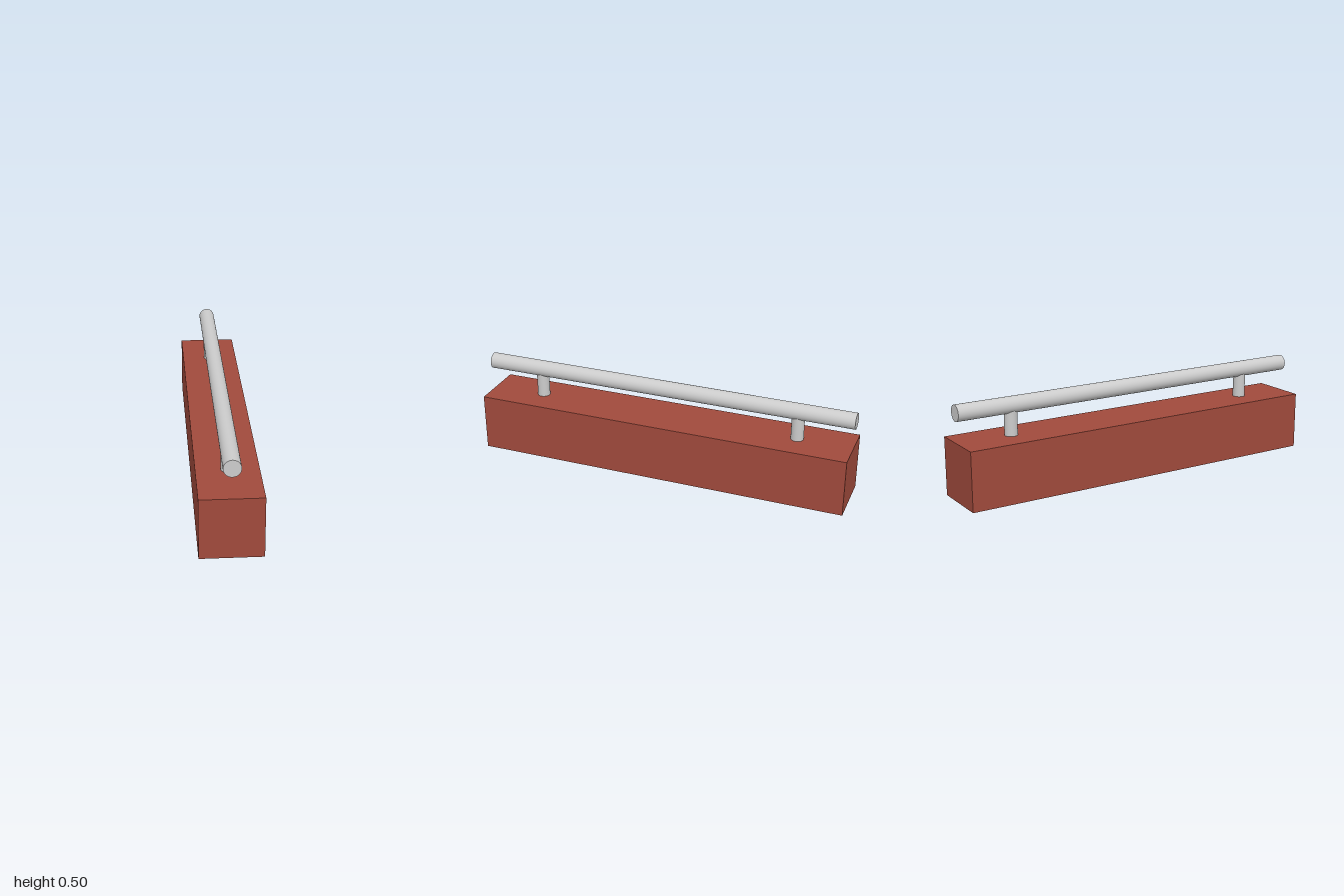
import * as THREE from 'three';

export function createModel() {
  const model = new THREE.Group();
  const brick = new THREE.MeshStandardMaterial({ color: 0xa04a3c });
  const metal = new THREE.MeshStandardMaterial({ color: 0xcccccc });

  const add = (name, geometry, material, x, y, z) => {
    const mesh = new THREE.Mesh(geometry, material);
    mesh.name = name;
    mesh.position.set(x, y, z);
    model.add(mesh);
    return mesh;
  };

  const wallHeight = 0.303;
  const railY = 0.456;

  // Solid block the rail stands on
  add('wallBlock', new THREE.BoxGeometry(0.303, wallHeight, 1.99), brick, 0, wallHeight / 2, 0);

  // Round rail along the full length
  const rail = add('rail', new THREE.CylinderGeometry(0.042, 0.042, 2, 40), metal, 0, railY, 0);
  rail.rotation.x = Math.PI / 2;

  // Two posts reaching from the block into the rail
  const postHeight = railY - wallHeight;
  const postGeometry = new THREE.CylinderGeometry(0.033, 0.033, postHeight, 32);
  for (const [name, z] of [['frontPost', 0.707], ['backPost', -0.707]]) {
    add(name, postGeometry, metal, 0, wallHeight + postHeight / 2, z);
  }

  return model;
}
